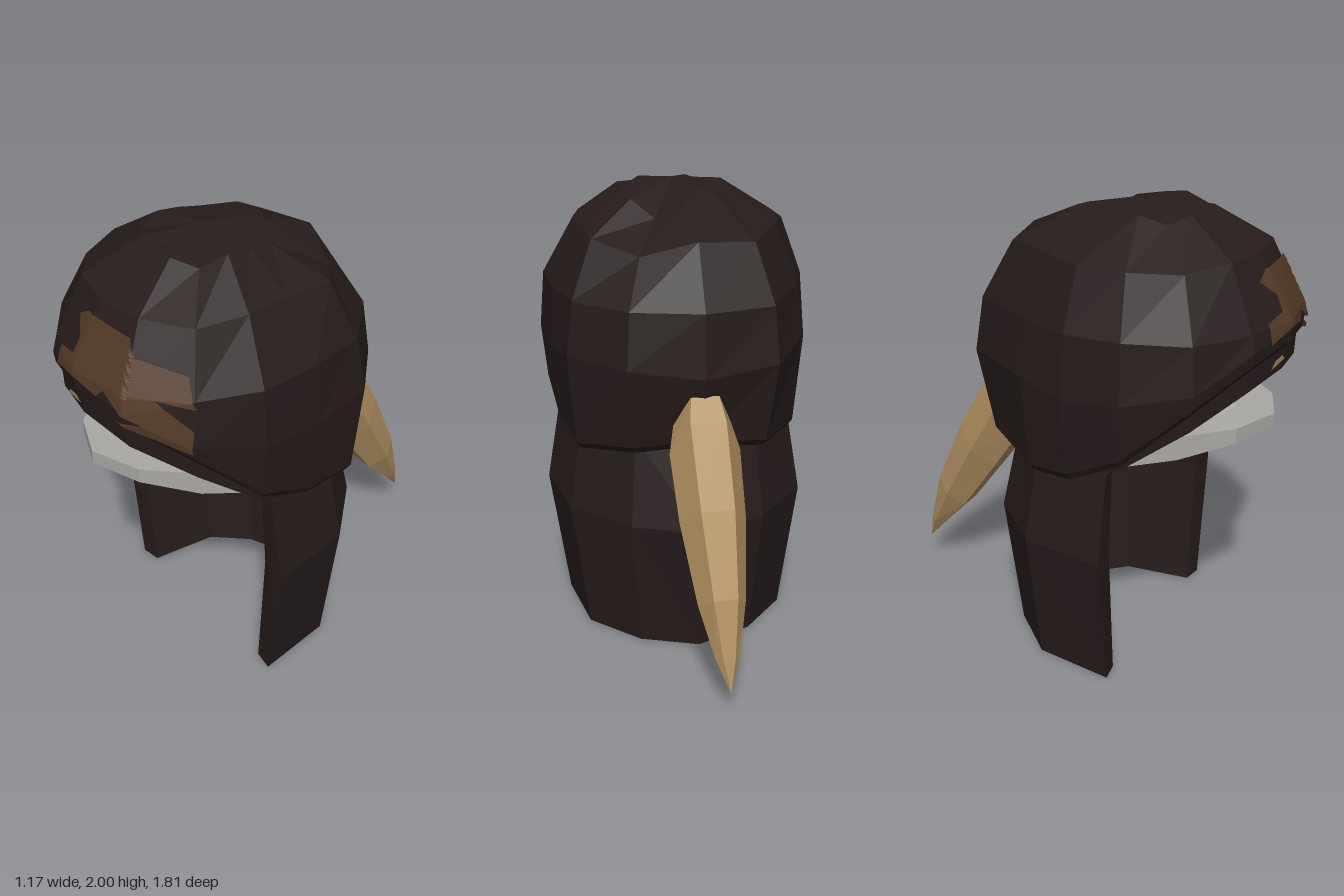
import * as THREE from 'three';

const material = (name, color, open = false) => {
  const m = new THREE.MeshStandardMaterial({ color, flatShading: true });
  m.name = name;
  if (open) m.side = THREE.DoubleSide;
  return m;
};

// flat-faced skin through rings of equal length; rings may collapse to a point
function loft(rings) {
  const pos = [];
  const n = rings[0].length;
  for (let i = 0; i < rings.length - 1; i++) {
    for (let j = 0; j < n; j++) {
      const k = (j + 1) % n;
      const [a, b, c, d] = [rings[i][j], rings[i][k], rings[i + 1][k], rings[i + 1][j]];
      pos.push(...a, ...b, ...c, ...a, ...c, ...d);
    }
  }
  return flat(pos);
}

function flat(pos) {
  const g = new THREE.BufferGeometry();
  g.setAttribute('position', new THREE.Float32BufferAttribute(pos, 3));
  g.computeVertexNormals();
  return g;
}

const point = (n, p) => Array(n).fill(p);
const centroid = ring => [0, 1, 2].map(k => ring.reduce((s, p) => s + p[k], 0) / ring.length);
const capped = rings => [
  point(rings[0].length, centroid(rings[0])), ...rings,
  point(rings[0].length, centroid(rings.at(-1))),
];
const fan = pts => flat(pts.slice(2).flatMap((p, i) => [...pts[0], ...pts[i + 1], ...p]));

// cap: plan outline from the back, round the left side, to the front and back again
function capGeometry() {
  const outline = [[0, -0.43], [0.31, -0.35], [0.53, -0.13], [0.57, 0.15], [0.585, 0.42], [0.49, 0.68],
    [0.28, 0.86], [0, 0.895], [-0.26, 0.84], [-0.49, 0.69], [-0.575, 0.42], [-0.585, 0.17], [-0.52, -0.05], [-0.32, -0.38]];
  // uneven crown, all the way round
  const crownY = [1.94, 1.87, 1.94, 1.96, 1.975, 1.93, 1.965, 1.95, 1.965, 1.94, 1.975, 1.96, 1.95, 1.96];
  const shoulder = [0.77, 0.73, 0.76, 0.72, 0.73, 0.77, 0.77, 0.77, 0.77, 0.76, 0.82, 0.81, 0.77, 0.77];
  const shoulderY = [1.83, 1.76, 1.81, 1.82, 1.82, 1.81, 1.83, 1.82, 1.83, 1.81, 1.82, 1.82, 1.83, 1.81];
  // per direction, back to front
  const upperScale = [0.965, 0.95, 0.94, 0.965, 0.965, 0.955, 0.97, 0.985];
  const waist = [1.3, 1.33, 1.34, 1.3, 1.32, 1.38, 1.5, 1.52];
  const rim = [1.0, 0.97, 0.94, 0.97, 1.08, 1.32, 1.45, 1.48];
  const rimScale = [0.87, 0.9, 0.94, 0.95, 0.96, 0.985, 0.99, 0.995];
  const tierDrop = [0.02, 0.02, 0.02, 0.02, 0.05, 0.1, 0.12, 0.12];
  const n = outline.length;
  const ring = f => outline.map(([x, z], j) => {
    const [s, y] = f(j <= 7 ? j : n - j, j);
    return [x * s, y, 0.27 + (z - 0.27) * s];
  });
  return loft([
    point(n, [0, 2, 0.27]),
    ring((_, j) => [0.4, crownY[j]]),
    ring((_, j) => [shoulder[j], shoulderY[j]]),
    ring(j => [upperScale[j], 1.57]),
    ring(j => [1, waist[j]]),
    ring(j => [rimScale[j], rim[j]]),
    ring(j => [rimScale[j] - 0.035, rim[j] - 0.03]),
    ring(j => [rimScale[j] - 0.04, rim[j] - tierDrop[j]]),
    ring(j => [0.6, 0.6 * (rim[j] - tierDrop[j]) + 0.41]),
    point(n, [0, 1.02, 0.15]),
  ]);
}

// U-shaped neck curtain; each station is a closed wall section
function curtainGeometry() {
  const half = [ // outer x, z, inner x, z
    [0.5, 0.34, 0.41, 0.325], [0.45, -0.01, 0.375, 0.02], [0.25, -0.22, 0.235, -0.13], [0, -0.32, 0, -0.23],
  ];
  const stations = [...half.map(p => [-1, p]), ...half.slice(0, 3).reverse().map(p => [1, p])];
  const levels = [[0, 1, 1, 0], [0.6, 1.17, 1.12, -0.09], [0.98, 1.04, 1.06, 0.01]]; // y, width scales, back bulge
  const rings = stations.map(([side, [ox, oz, ix, iz]]) => {
    const bulge = ((0.34 - oz) / 0.66) ** 2;
    const outer = levels.map(([y, so, , dz]) => [side * ox * so, y, oz + dz * bulge]);
    const inner = levels.map(([y, , si, dz]) => [side * ix * si, y, iz + dz * bulge]);
    return [...outer, ...inner.reverse()];
  });
  return loft(capped(rings));
}

// curved visor with a raised inner edge; stations run from the left end to the right end
function visorGeometry() {
  const half = [ // x, front z, top y, bottom y, shelf z, inner z, inner y, under z, under y
    [0.46, 0.39, 1.03, 1.01, 0.375, 0.36, 1.05, 0.3, 1.01],
    [0.38, 0.585, 1.15, 1.05, 0.48, 0.43, 1.165, 0.25, 1.0],
    [0.21, 0.765, 1.155, 1.09, 0.63, 0.57, 1.19, 0.165, 0.963],
    [0, 0.85, 1.16, 1.1, 0.69, 0.63, 1.2, 0.05, 0.92],
  ];
  const stations = [...half, ...half.slice(0, 3).reverse().map(([x, ...r]) => [-x, ...r])];
  return loft(capped(stations.map(([x, zf, yt, yb, zs, zi, yi, zu, yu]) =>
    [[x, yt, zf], [x * 0.95, yt, zs], [x * 0.92, yi, zi], [x, yu, zu], [x, yb, zf]])));
}

// six-sided tapering tail
function tailGeometry() {
  const sections = [ // upper z, y, lower z, y, half width
    [-0.4, 1.22, -0.28, 0.96, 0.12], [-0.47, 1.13, -0.34, 0.83, 0.15], [-0.65, 0.82, -0.46, 0.66, 0.14],
    [-0.8, 0.5, -0.66, 0.39, 0.1], [-0.87, 0.27, -0.81, 0.235, 0.05], [-0.905, 0.13, -0.905, 0.13, 0],
  ];
  return loft(capped(sections.map(([uz, uy, lz, ly, w]) => {
    const my = (uy + ly) / 2, mz = (uz + lz) / 2, h = w / 2;
    return [[-h, uy, uz], [h, uy, uz], [w, my, mz], [h, ly, lz], [-h, ly, lz], [-w, my, mz]];
  })));
}

// ragged patch laid over the front of the cap
function patchGeometry(cap) {
  const shape = new THREE.Shape([[-0.095, 1.73], [-0.03, 1.767], [0.217, 1.762], [0.26, 1.7], [0.42, 1.656],
    [0.476, 1.545], [0.36, 1.57], [0.478, 1.46], [0.482, 1.36], [0.24, 1.466], [0.34, 1.466], [0.17, 1.556],
    [0.14, 1.52], [0, 1.545], [-0.16, 1.51], [-0.15, 1.59], [-0.04, 1.61], [-0.03, 1.67]].map(p => new THREE.Vector2(...p)));
  const g = new THREE.ShapeGeometry(shape).toNonIndexed();
  const p = g.attributes.position;
  let tris = [];
  for (let i = 0; i < p.count; i += 3) tris.push([0, 1, 2].map(k => new THREE.Vector3().fromBufferAttribute(p, i + k)));
  for (let pass = 0; pass < 4; pass++) {
    tris = tris.flatMap(([a, b, c]) => {
      const mid = (u, v) => u.clone().lerp(v, 0.5);
      const [d, e, f] = [mid(a, b), mid(b, c), mid(c, a)];
      return [[a, d, f], [d, b, e], [f, e, c], [d, e, f]];
    });
  }
  const ray = new THREE.Raycaster();
  const centre = new THREE.Vector3(0, 1.5, 0.27);
  return flat(tris.flat().flatMap(v => {
    ray.set(new THREE.Vector3(v.x, v.y, 3), new THREE.Vector3(0, 0, -1));
    const hit = ray.intersectObject(cap)[0];
    const q = hit ? hit.point : new THREE.Vector3(v.x, v.y, 0.66);
    return q.sub(centre).multiplyScalar(1.024).add(centre).toArray();
  }));
}

export function createModel() {
  const group = new THREE.Group();
  const fur = material('dark fur', 0x261c1b);
  const lining = material('dark fur lining', 0x261c1b, true);
  const grey = material('visor grey', 0xaaa8a4);
  const plate = material('plate grey', 0xaaa8a4, true);
  const tan = material('tail tan', 0xb09060, true);
  const brown = material('patch brown', 0x543925, true);
  const add = (name, geometry, mat) => {
    const mesh = new THREE.Mesh(geometry, mat);
    mesh.name = name;
    group.add(mesh);
    return mesh;
  };

  const cap = add('cap', capGeometry(), fur);
  add('neckCurtain', curtainGeometry(), fur);
  add('visor', visorGeometry(), grey);
  add('tail', tailGeometry(), tan);
  add('frontPatch', patchGeometry(cap), brown);

  // lower plate continuing the visor slope, and the dark lining on both sides of it
  add('lowerPlate', fan([[0, 0.92, 0.05], [-0.32, 0.88, -0.02], [-0.2, 0.82, -0.08], [0, 0.8, -0.12],
    [0.2, 0.82, -0.08], [0.32, 0.88, -0.02]]), plate);
  for (const s of [-1, 1]) {
    add(s > 0 ? 'leftLining' : 'rightLining', fan([[0, 0.92, 0.06], [s * 0.46, 1.02, 0.31],
      [s * 0.45, 0.92, 0.12], [s * 0.38, 0.84, 0.03], [s * 0.3, 0.87, 0.03]]), lining);
  }

  // small mark under the front edge
  add('edgeMark', fan([[-0.12, 1.39, 0.862], [0, 1.405, 0.876], [-0.03, 1.43, 0.876], [-0.09, 1.42, 0.868]]), tan);
  return group;
}
